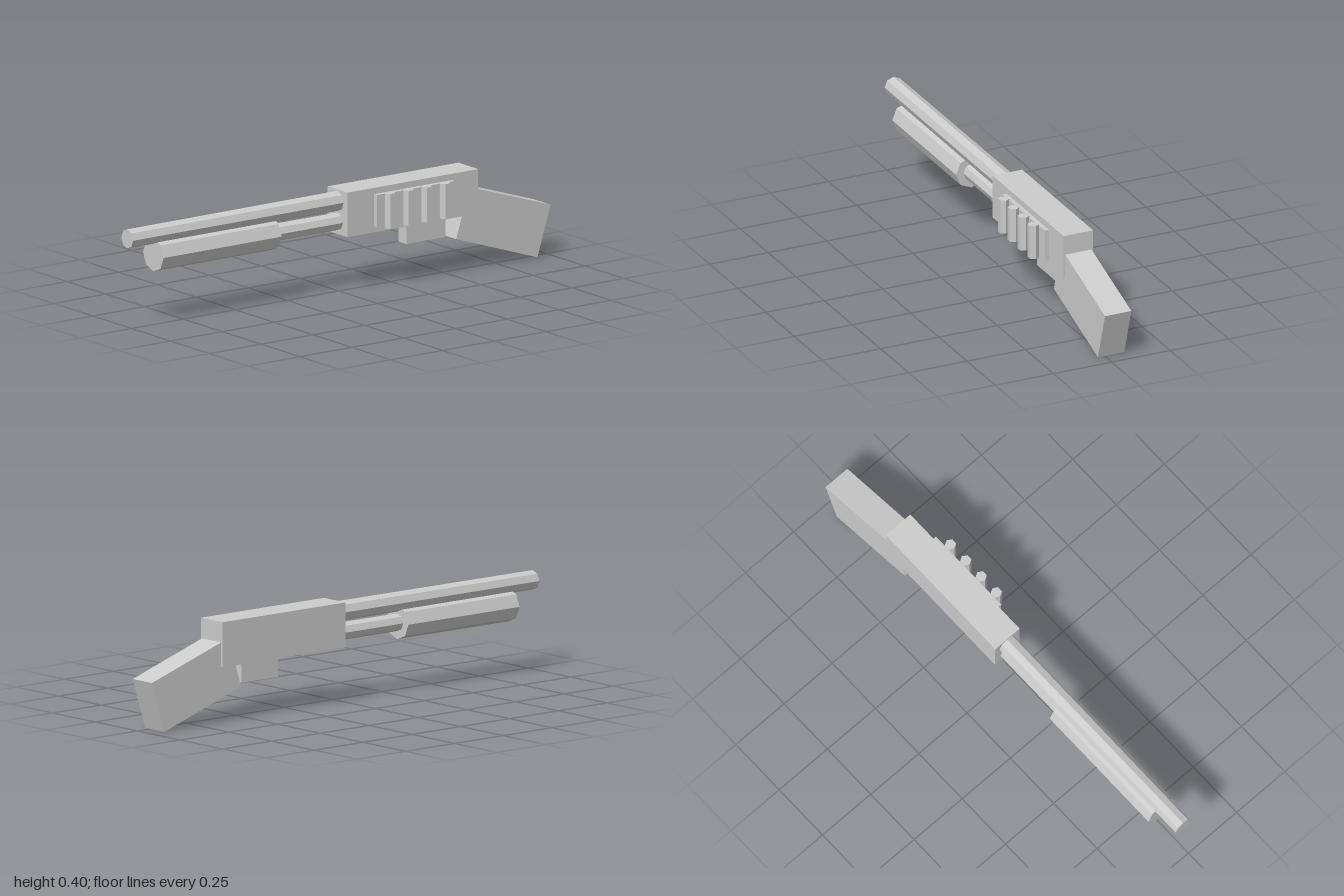
import * as THREE from 'three';

export function createModel() {
  const group = new THREE.Group();
  const grey = new THREE.MeshStandardMaterial({ color: 0xcccccc });
  grey.name = 'light grey';
  grey.flatShading = true;
  const AXIS = -0.028; // x of the barrel axis

  const add = (name, geometry, x = 0, y = 0, z = 0) => {
    const mesh = new THREE.Mesh(geometry, grey);
    mesh.name = name;
    mesh.position.set(x, y, z);
    group.add(mesh);
    return mesh;
  };

  // Box given by its minimum and maximum corners
  const block = (name, [x0, y0, z0], [x1, y1, z1]) =>
    add(name, new THREE.BoxGeometry(x1 - x0, y1 - y0, z1 - z0),
      (x0 + x1) / 2, (y0 + y1) / 2, (z0 + z1) / 2);

  // Eight-sided rod lying along z
  const rod = (name, y, rFront, rBack, z0, z1) =>
    add(name, new THREE.CylinderGeometry(rFront, rBack, z1 - z0, 8).rotateX(Math.PI / 2),
      AXIS, y, (z0 + z1) / 2);

  // Body
  block('receiver', [-0.091, 0.219, -0.645], [0.036, 0.396, -0.014]);
  block('triggerBlock', [-0.054, 0.137, -0.516], [-0.003, 0.23, -0.328]);

  // Barrel, magazine tube and sliding grip
  rod('barrel', 0.351, 0.038, 0.04, -0.02, 1);
  rod('magazineTube', 0.27, 0.035, 0.035, -0.02, 0.4);
  rod('slidingGrip', 0.269, 0.066, 0.066, 0.305, 0.874);

  // Shell holder with four six-sided shells on the left side
  block('shellHolder', [0.03, 0.244, -0.518], [0.055, 0.371, -0.142]);
  for (let i = 0; i < 4; i++) {
    add('shell' + (i + 1), new THREE.CylinderGeometry(0.0225, 0.0225, 0.139, 6),
      0.0735, 0.3075, -0.455 + i * 0.0883);
  }

  // Angled stock: side profile (z, y) extruded across x
  const profile = new THREE.Shape([
    [-0.936, 0], [-0.544, 0.131], [-0.608, 0.328], [-1, 0.2],
  ].map(([z, y]) => new THREE.Vector2(-z, y)));
  const stock = new THREE.ExtrudeGeometry(profile, { depth: 0.113, bevelEnabled: false });
  stock.rotateY(Math.PI / 2); // shape x becomes -z, depth becomes +x
  add('stock', stock, -0.084, 0, 0);

  return group;
}
